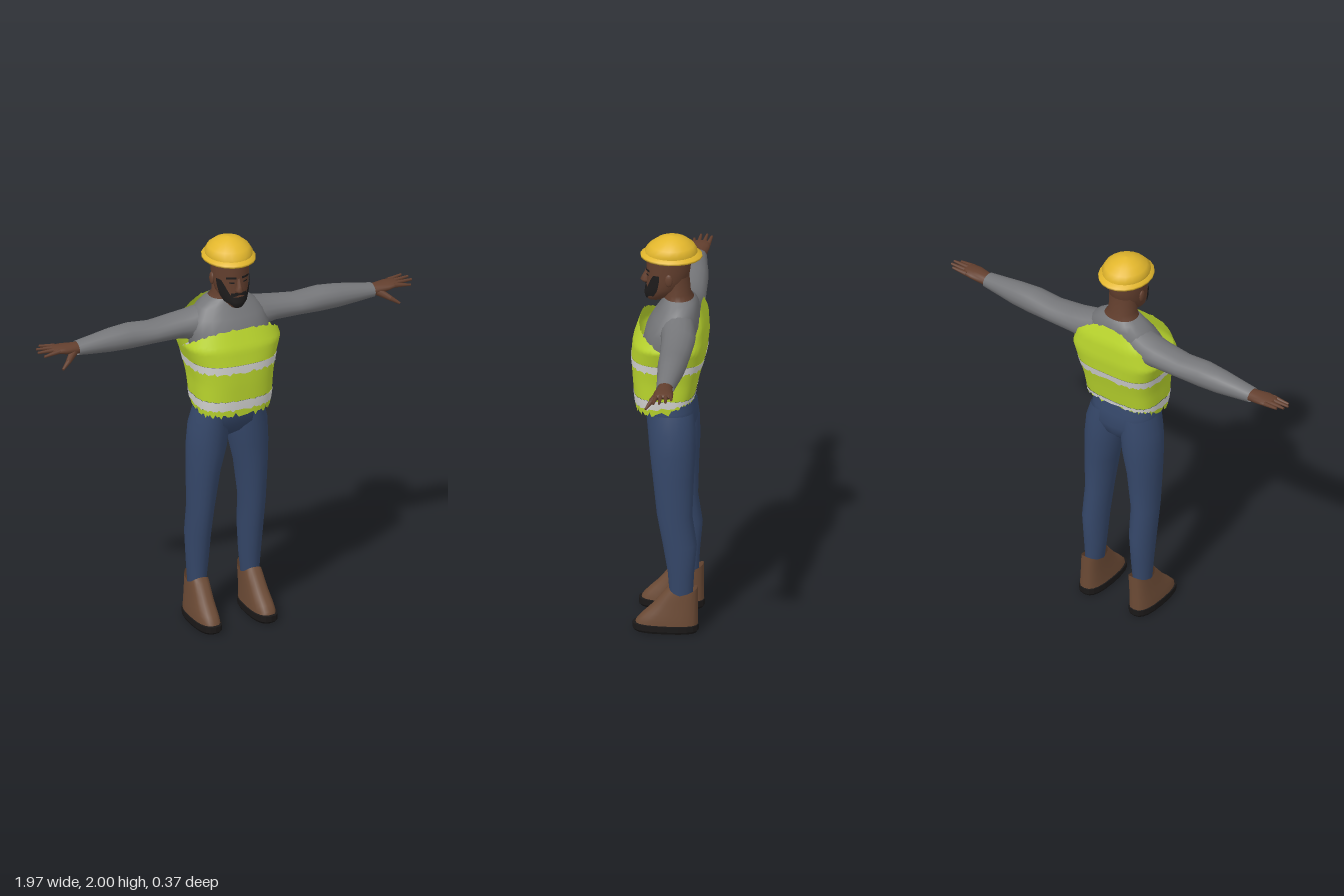
import * as THREE from 'three';
import { mergeVertices } from 'three/addons/utils/BufferGeometryUtils.js';

const mat = (name, color) => new THREE.MeshStandardMaterial({ name, color, side: THREE.DoubleSide });
const TAU = Math.PI * 2, FRONT = Math.PI / 2;

// Interpolate a profile row [y, halfWidth, zFront, zBack, xCentre] at height y
function rowAt(profile, y) {
  let i = 0;
  while (i < profile.length - 2 && profile[i + 1][0] < y) i++;
  const a = profile[i], b = profile[i + 1];
  const t = Math.min(1, Math.max(0, (y - a[0]) / (b[0] - a[0])));
  return [y, 1, 2, 3, 4].map((k, n) => (n ? THREE.MathUtils.lerp(a[k] || 0, b[k] || 0, t) : y));
}

// Surface around a profile; lo/hi give angle-dependent edges for partial patches
function loft(profile, { a0 = -FRONT, a1 = a0 + TAU, n = 20, lo, hi, rows = 8, off = 0, p = 1, pBack = p, flat } = {}) {
  const pos = [], idx = [], m = lo ? rows : profile.length - 1;
  for (let j = 0; j <= m; j++) {
    for (let i = 0; i <= n; i++) {
      const a = a0 + (a1 - a0) * i / n, c = Math.cos(a), s = Math.sin(a);
      const r = lo ? rowAt(profile, THREE.MathUtils.lerp(lo(a), hi(a), j / m)) : profile[j];
      const e = s < 0 ? pBack : p;
      const bend = v => Math.sign(v) * Math.pow(Math.abs(v), e);
      pos.push((r[4] || 0) + (r[1] + off) * bend(c), r[0],
        (r[2] + r[3]) / 2 + ((r[2] - r[3]) / 2 + off) * bend(s));
      if (i < n && j < m) {
        const k = j * (n + 1) + i, u = k + n + 1;
        idx.push(k, u, k + 1, k + 1, u, u + 1);
      }
    }
  }
  let g = new THREE.BufferGeometry();
  g.setAttribute('position', new THREE.Float32BufferAttribute(pos, 3));
  g.setIndex(idx);
  g = mergeVertices(g, 1e-5);
  if (flat) g = g.toNonIndexed();
  g.computeVertexNormals();
  return g;
}

// Tapered round piece between two points
function taper(a, b, r0, r1) {
  const A = new THREE.Vector3(...a), B = new THREE.Vector3(...b), d = B.clone().sub(A);
  const g = new THREE.CylinderGeometry(r1, r0, d.length(), 8);
  g.applyQuaternion(new THREE.Quaternion().setFromUnitVectors(new THREE.Vector3(0, 1, 0), d.normalize()));
  return g.translate(...A.add(B).multiplyScalar(0.5).toArray());
}

// Mirror a geometry across x, keeping faces outward
function mirrored(geo) {
  const g = geo.index ? geo.toNonIndexed() : geo.clone();
  g.scale(-1, 1, 1);
  for (const at of Object.values(g.attributes)) {
    const s = at.itemSize, v = at.array;
    for (let t = 0; t < v.length; t += 3 * s)
      for (let k = 0; k < s; k++) [v[t + s + k], v[t + 2 * s + k]] = [v[t + 2 * s + k], v[t + s + k]];
  }
  return g;
}

export function createModel() {
  const group = new THREE.Group();
  const skin = mat('brown skin', 0x633f2e), hair = mat('black hair', 0x1e1c1c);
  const yellow = mat('helmet yellow', 0xe2b62c), grey = mat('sweater grey', 0x757679);
  const lime = mat('vest lime', 0xbcd82e), silver = mat('reflective white', 0xd6d6d4);
  const denim = mat('denim blue', 0x354769), leather = mat('boot brown', 0x6b4a35);
  const rubber = mat('sole black', 0x1a1818);
  const add = (name, geo, m) => {
    const mesh = new THREE.Mesh(geo, m);
    mesh.name = name;
    group.add(mesh);
  };
  const pair = (name, geo, m) => {
    add(name + 'Left', geo, m);
    add(name + 'Right', mirrored(geo), m);
  };

  // Head and neck
  const head = [
    [1.666, 0.001, 0.09, 0.07], [1.67, 0.025, 0.11, 0.04], [1.7, 0.055, 0.12, -0.01],
    [1.74, 0.076, 0.115, -0.06], [1.79, 0.086, 0.115, -0.088], [1.84, 0.09, 0.115, -0.096],
    [1.91, 0.094, 0.117, -0.1]];
  add('head', loft(head), skin);
  add('neck', loft([[1.62, 0.12, 0.03, -0.125], [1.68, 0.088, 0.032, -0.115],
    [1.71, 0.07, 0.035, -0.098], [1.8, 0.07, 0.03, -0.09]]), skin);
  add('nose', loft([[1.752, 0.004, 0.12, 0.09], [1.758, 0.019, 0.135, 0.09], [1.768, 0.019, 0.146, 0.09],
    [1.788, 0.012, 0.136, 0.09], [1.826, 0.009, 0.116, 0.09]], { n: 10 }), skin);
  pair('ear', new THREE.SphereGeometry(1, 10, 8).scale(0.01, 0.032, 0.02).translate(0.09, 1.8, 0.0), skin);

  // Facial hair and features as thin patches over the head
  const patch = (d0, d1, lo, hi, off) => loft(head, { a0: FRONT - d1, a1: FRONT - d0, n: 16, off, lo, hi });
  const side = a => THREE.MathUtils.smoothstep(Math.abs(a - FRONT), 0.4, 1.0);
  add('beard', patch(-1.25, 1.25, a => 1.667 + 0.035 * side(a), a => 1.732 + 0.088 * side(a), 0.006), hair);
  add('moustache', patch(-0.5, 0.5, a => 1.742 - 0.02 * Math.abs(a - FRONT), () => 1.755, 0.006), hair);
  pair('eyebrow', patch(0.15, 0.68, () => 1.826, () => 1.837, 0.004), hair);
  pair('eye', patch(0.27, 0.55, () => 1.804, () => 1.811, 0.003), hair);

  // Hard hat
  add('helmetDome', loft([[1.9, 0.108, 0.125, -0.13], [1.93, 0.114, 0.122, -0.128], [1.955, 0.1, 0.1, -0.113],
    [1.98, 0.07, 0.065, -0.08], [1.995, 0.035, 0.03, -0.045], [2.0, 0.001, -0.005, -0.007]]), yellow);
  add('helmetBrim', loft([[1.9, 0.09, 0.11, -0.1], [1.895, 0.127, 0.145, -0.152],
    [1.905, 0.127, 0.145, -0.152], [1.918, 0.108, 0.122, -0.128]]), yellow);

  // Sweater
  add('sweaterBody', loft([[1.14, 0.15, 0.12, -0.1], [1.3, 0.165, 0.13, -0.115], [1.45, 0.195, 0.135, -0.14],
    [1.54, 0.205, 0.115, -0.145], [1.6, 0.185, 0.08, -0.14], [1.645, 0.15, 0.05, -0.135],
    [1.672, 0.11, 0.038, -0.125], [1.688, 0.085, 0.03, -0.112]], { p: 0.9 }), grey);
  // Limb rows along x: [x, halfHeight, zFront, zBack, -yCentre]
  const alongX = rows => loft(rows, { n: 16 }).rotateZ(-FRONT).scale(1, 1, 1);
  const flipY = rows => rows.map(([x, h, f, b, y]) => [x, h, f, b, -y]);
  pair('sleeve', alongX(flipY([[0.08, 0.08, 0.03, -0.12, 1.58], [0.18, 0.076, 0.03, -0.14, 1.557],
    [0.25, 0.062, 0.02, -0.142, 1.557], [0.38, 0.054, 0.013, -0.135, 1.549], [0.5, 0.062, 0.01, -0.13, 1.553],
    [0.6, 0.057, 0.003, -0.12, 1.55], [0.7, 0.045, -0.005, -0.105, 1.547], [0.78, 0.034, -0.01, -0.095, 1.545]])), grey);

  // Hands
  pair('palm', alongX(flipY([[0.72, 0.028, -0.02, -0.085, 1.545], [0.79, 0.028, -0.015, -0.09, 1.547],
    [0.85, 0.022, -0.005, -0.1, 1.555], [0.9, 0.014, -0.012, -0.1, 1.56], [0.91, 0.002, -0.03, -0.08, 1.56]])), skin);
  [[-0.09, -0.1, 0.955, 1.57], [-0.067, -0.075, 0.98, 1.567], [-0.043, -0.045, 0.985, 1.562], [-0.022, -0.015, 0.965, 1.55]]
    .forEach(([z0, z1, x, y], i) =>
      pair('finger' + (i + 1), taper([0.88, 1.56, z0], [x, y, z1], 0.012, 0.006), skin));
  pair('thumbBase', taper([0.8, 1.54, -0.035], [0.85, 1.51, 0.008], 0.022, 0.013), skin);
  pair('thumbTip', taper([0.845, 1.513, 0.004], [0.888, 1.486, 0.03], 0.013, 0.006), skin);

  // Safety vest with ragged hems, cut into lime and reflective bands
  const vest = [[1.1, 0.18, 0.16, -0.115], [1.2, 0.193, 0.172, -0.122], [1.3, 0.2, 0.18, -0.145],
    [1.4, 0.218, 0.185, -0.172], [1.48, 0.245, 0.178, -0.18], [1.58, 0.215, 0.145, -0.175], [1.67, 0.15, 0.1, -0.147]];
  const jag = a => 0.5 * Math.sin(a * 23) + 0.5 * Math.sin(a * 41 + 1);
  const frontness = a => THREE.MathUtils.smoothstep(Math.sin(a), -0.7, 0.3);
  const edges = [
    a => 1.192 - 0.06 * frontness(a) + 0.016 * jag(a),
    a => 1.193 - 0.03 * frontness(a) + 0.008 * jag(a + 2),
    a => 1.212 + 0.004 * jag(a + 1),
    a => 1.362 + 0.01 * jag(a + 3),
    () => 1.402,
    a => {
      const s = Math.sin(a);
      return 1.475 + 0.006 * jag(a) + (s > 0 ? 0.1 * Math.pow(s, 0.8) : 0.185 * Math.pow(-s, 1.5));
    }];
  ['vestFringe', 'vestLowerStripe', 'vestMiddle', 'vestUpperStripe', 'vestTop'].forEach((name, i) =>
    add(name, loft(vest, { n: 96, rows: i === 4 ? 10 : i === 2 ? 6 : 2, p: 0.75, pBack: 0.55,
      lo: a => Math.min(edges[i](a), edges[i + 1](a)), hi: edges[i + 1], off: i % 2 ? 0.002 : 0 }), i % 2 ? silver : lime));

  // Trousers
  add('hips', loft([[0.96, 0.02, 0.0, -0.07], [1.0, 0.1, 0.06, -0.11], [1.06, 0.182, 0.108, -0.13],
    [1.13, 0.17, 0.124, -0.124], [1.21, 0.158, 0.13, -0.108]], { p: 0.85 }), denim);
  pair('trouserLeg', loft([[0.18, 0.042, -0.01, -0.12, 0.14], [0.3, 0.053, 0.0, -0.127, 0.138],
    [0.45, 0.06, 0.025, -0.14, 0.138], [0.6, 0.064, 0.053, -0.118, 0.135], [0.8, 0.081, 0.075, -0.125, 0.124],
    [0.92, 0.096, 0.09, -0.132, 0.11], [1.03, 0.098, 0.1, -0.13, 0.1], [1.12, 0.085, 0.11, -0.12, 0.088]]), denim);

  // Boots with a notched cuff
  const boot = [[0.03, 0.06, 0.158, -0.146, 0.146], [0.06, 0.058, 0.148, -0.146, 0.146],
    [0.13, 0.052, 0.075, -0.145, 0.143], [0.24, 0.046, -0.015, -0.145, 0.138]];
  pair('boot', loft(boot, { p: 0.75, rows: 8, lo: () => 0.03, hi: a => 0.195 + 0.035 * Math.abs(Math.sin(a)) }), leather);
  pair('sole', loft([[0, 0.001, 0.01, 0.0, 0.146], [0, 0.058, 0.155, -0.142, 0.146], [0.012, 0.064, 0.168, -0.15, 0.146],
    [0.04, 0.064, 0.168, -0.15, 0.146], [0.044, 0.05, 0.14, -0.135, 0.146]], { p: 0.75, flat: true }), rubber);

  return group;
}
